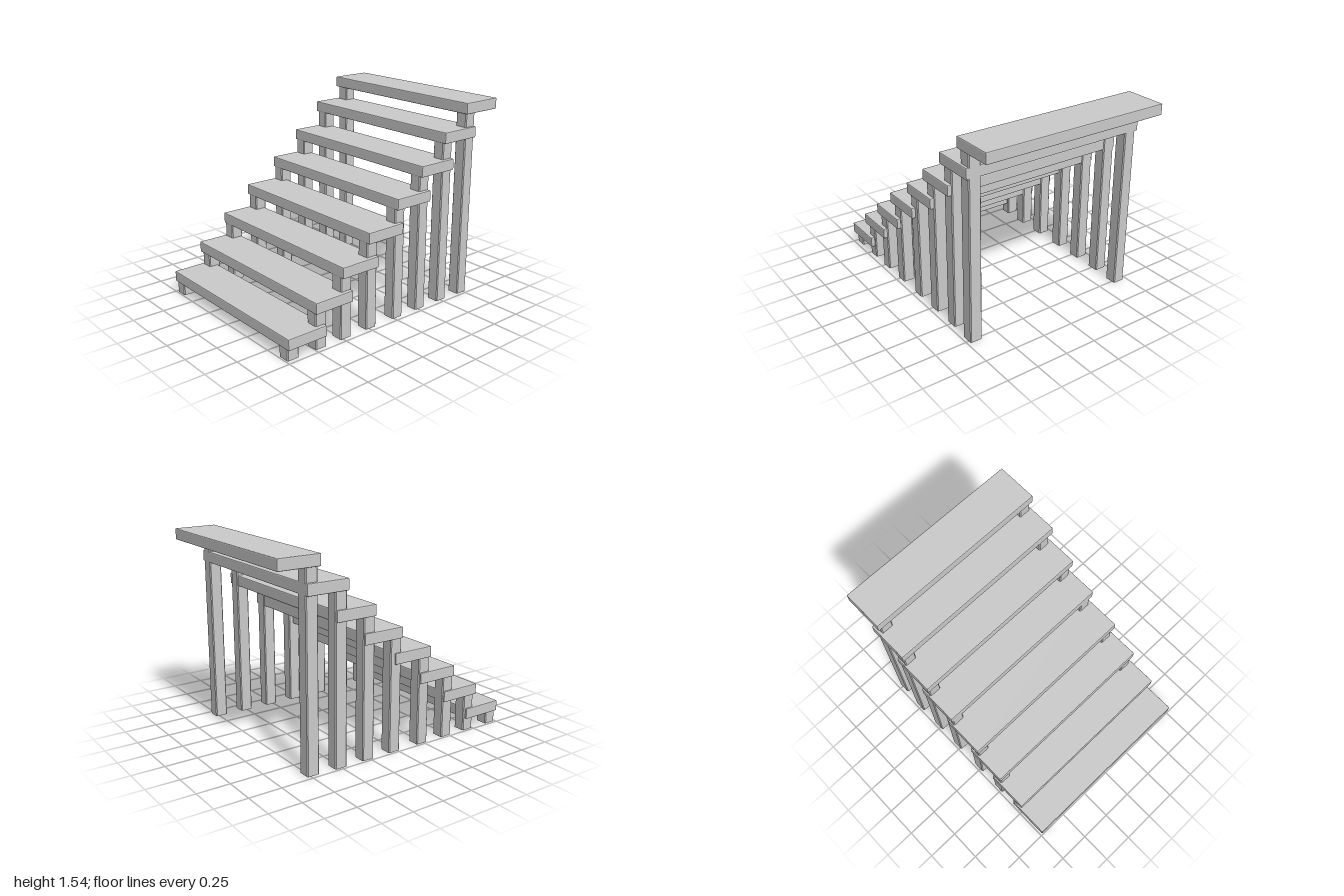
import * as THREE from 'three';
import { RoundedBoxGeometry } from 'three/addons/geometries/RoundedBoxGeometry.js';

const treadMaterial = new THREE.MeshStandardMaterial({ color: 0xcccccc, flatShading: true });
const postMaterial = new THREE.MeshStandardMaterial({ color: 0xcccccc, flatShading: true, side: THREE.DoubleSide });

const TREAD = { width: 1.49, height: 0.085, depth: 0.33 };
const POST_HALF = 0.048;
const BEVEL = 0.007;

// One entry per step: tread underside height, tread centre z, post centre z
const STEPS = [
  [0.092, 0.835, 0.940],
  [0.282, 0.597, 0.697],
  [0.475, 0.360, 0.473],
  [0.669, 0.123, 0.233],
  [0.858, -0.147, -0.032],
  [1.055, -0.382, -0.270],
  [1.265, -0.612, -0.505],
  [1.453, -0.833, -0.729],
];

// Square tube with chamfered corners, open at the foot
function postGeometry(height) {
  const tube = new THREE.CylinderGeometry(1, 1, height, 8, 1, true, Math.PI / 8);
  const p = tube.attributes.position;
  for (let i = 0; i < p.count; i++) {
    const x = p.getX(i), z = p.getZ(i);
    const wide = Math.abs(x) > Math.abs(z);
    p.setX(i, Math.sign(x) * (wide ? POST_HALF : POST_HALF - BEVEL));
    p.setZ(i, Math.sign(z) * (wide ? POST_HALF - BEVEL : POST_HALF));
  }
  const geometry = tube.toNonIndexed();
  geometry.computeVertexNormals();
  return geometry.translate(0, height / 2, 0);
}

export function createModel() {
  const stairs = new THREE.Group();
  stairs.name = 'stairs';
  const treadGeometry = new RoundedBoxGeometry(TREAD.width, TREAD.height, TREAD.depth, 1, BEVEL);

  STEPS.forEach(([underside, treadZ, postZ], i) => {
    const step = new THREE.Group();
    step.name = `step${i + 1}`;

    // Plank
    const tread = new THREE.Mesh(treadGeometry, treadMaterial);
    tread.name = 'tread';
    tread.position.set(0, underside + TREAD.height / 2, treadZ);
    step.add(tread);

    // Pair of posts, running slightly into the plank; the top pair is set a little to the left
    const shift = i === STEPS.length - 1 ? 0.002 : -0.009;
    const geometry = postGeometry(underside + 0.01);
    for (const side of [-1, 1]) {
      const post = new THREE.Mesh(geometry, postMaterial);
      post.name = side > 0 ? 'leftPost' : 'rightPost';
      post.position.set(side * 0.676 + shift, 0, postZ);
      step.add(post);
    }
    stairs.add(step);
  });
  return stairs;
}
